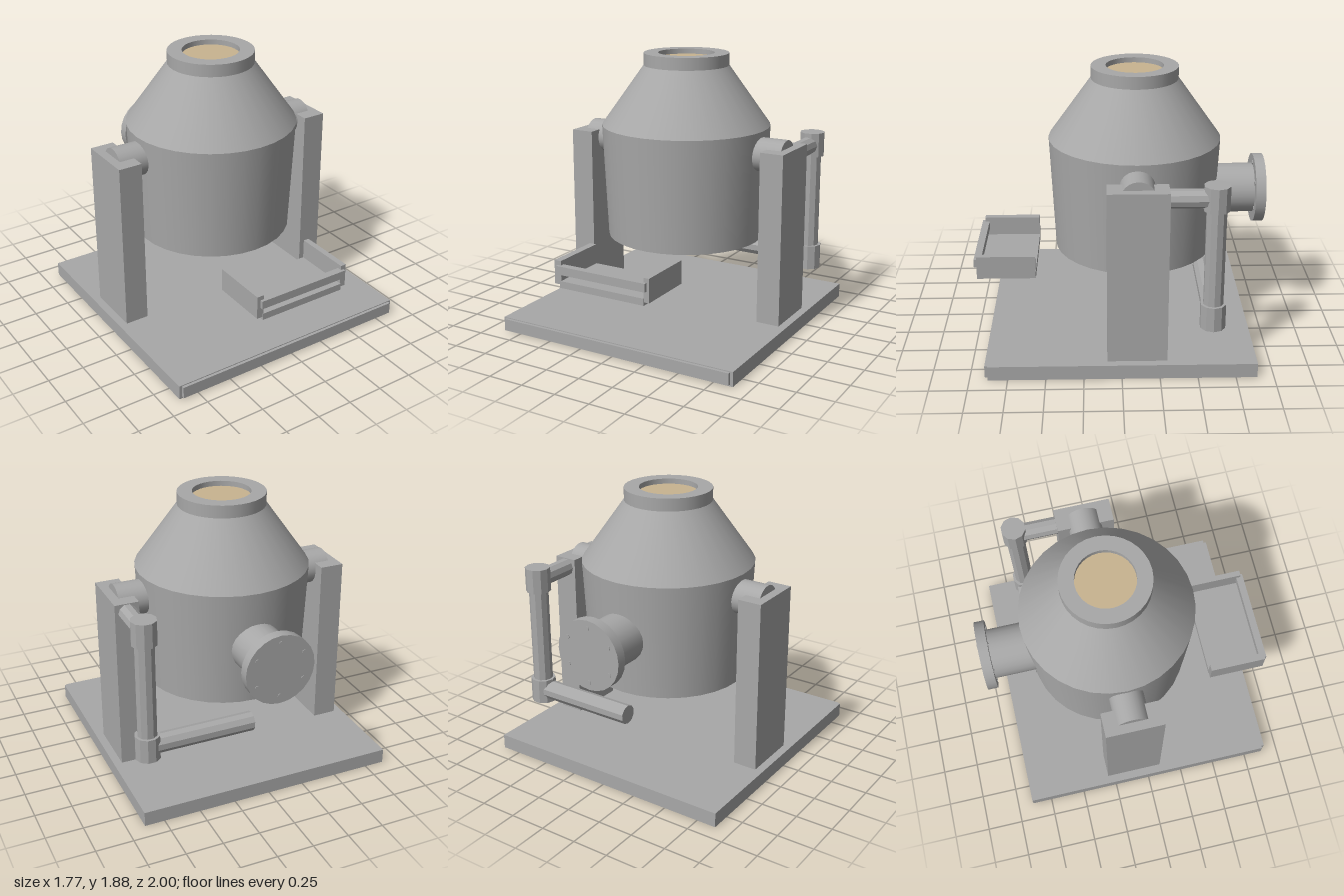
import * as THREE from 'three';
import { mergeGeometries } from 'three/addons/utils/BufferGeometryUtils.js';

export function createModel() {
  const model = new THREE.Group();
  model.name = 'tiltingMixer';

  const steel = new THREE.MeshStandardMaterial({ color: 0xa8a8a8 });
  steel.name = 'steel grey';
  const contents = new THREE.MeshStandardMaterial({ color: 0xc8b490 });
  contents.name = 'pale tan';

  const add = (name, geometry, material = steel, parent = model) => {
    const mesh = new THREE.Mesh(geometry, material);
    mesh.name = name;
    parent.add(mesh);
    return mesh;
  };

  // box given by its minimum and maximum on each axis
  const box = (name, [x0, x1], [y0, y1], [z0, z1], parent) => {
    const g = new THREE.BoxGeometry(x1 - x0, y1 - y0, z1 - z0);
    g.translate((x0 + x1) / 2, (y0 + y1) / 2, (z0 + z1) / 2);
    return add(name, g, steel, parent);
  };

  // round bar between two points; faceted bars have flat faces
  const bar = (name, from, to, radius, sides, faceted, parent) => {
    const a = new THREE.Vector3(...from);
    const d = new THREE.Vector3(...to).sub(a);
    let g = new THREE.CylinderGeometry(radius, radius, d.length(), sides);
    g.rotateY(Math.PI / 2);
    if (Math.abs(d.x) > 0) g.rotateZ(-Math.PI / 2 * Math.sign(d.x));
    if (Math.abs(d.z) > 0) g.rotateX(Math.PI / 2 * Math.sign(d.z));
    if (faceted) {
      g = g.toNonIndexed();
      g.computeVertexNormals();
    }
    g.translate(a.x + d.x / 2, a.y + d.y / 2, a.z + d.z / 2);
    return add(name, g, steel, parent);
  };

  const group = (name) => {
    const g = new THREE.Group();
    g.name = name;
    model.add(g);
    return g;
  };

  const axisZ = -0.105;

  // base with a thin front plate
  box('base', [-0.885, 0.885], [0, 0.1], [-0.89, 0.88]);
  box('baseFrontPlate', [-0.865, 0.865], [0.012, 0.094], [0.87, 0.9]);

  // posts and pivots
  for (const [side, s] of [['left', 1], ['right', -1]]) {
    const xs = [s * 0.665, s * 0.83].sort((a, b) => a - b);
    box(side + 'Post', xs, [0.1, 1.285], [-0.3, 0.095]);
    bar(side + 'Pivot', [s * 0.5, 1.225, axisZ], [s * 0.77, 1.225, axisZ], 0.116, 24, false);
  }

  // vessel: each stretch of the profile is its own lathe, so edges stay sharp
  const profile = [
    [0, 0.595], [0.55, 0.595], [0.587, 1.38], [0.295, 1.79],
    [0.295, 1.875], [0.195, 1.875], [0.195, 1.83],
  ].map(([r, y]) => new THREE.Vector2(r, y));
  const bands = profile.slice(1).map((p, i) => new THREE.LatheGeometry([profile[i], p], 32));
  const vessel = add('vessel', mergeGeometries(bands));
  vessel.position.z = axisZ;
  const fill = add('vesselContents', new THREE.CircleGeometry(0.196, 32).rotateX(-Math.PI / 2), contents);
  fill.position.set(0, 1.84, axisZ);

  // rear outlet with a bolted flange
  const outlet = group('rearOutlet');
  const outletY = 0.99;
  bar('outletPipe', [0, outletY, -0.4], [0, outletY, -0.94], 0.171, 24, false, outlet);
  bar('outletFlange', [0, outletY, -0.927], [0, outletY, -0.996], 0.238, 24, false, outlet);
  for (let i = 0; i < 6; i++) {
    const a = Math.PI / 2 + i * Math.PI / 3;
    const x = 0.185 * Math.cos(a), y = outletY + 0.185 * Math.sin(a);
    bar('flangeBolt', [x, y, -0.922], [x, y, -1], 0.016, 8, true, outlet);
  }

  // drive linkage beside the left post
  const drive = group('driveLinkage');
  const dx = 0.745, dz = -0.597;
  bar('driveArm', [dx, 1.22, dz], [dx, 1.22, -0.2], 0.062, 10, true, drive);
  bar('upperCoupling', [dx, 1.14, dz], [dx, 1.308, dz], 0.086, 10, true, drive);
  bar('driveShaft', [dx, 0.4, dz], [dx, 1.2, dz], 0.067, 10, true, drive);
  bar('lowerCoupling', [dx, 0.31, dz], [dx, 0.482, dz], 0.086, 10, true, drive);
  bar('lowerArm', [0, 0.398, dz], [dx, 0.398, dz], 0.067, 10, true, drive);

  // open tray in front of the vessel
  const tray = group('frontTray');
  box('trayFloor', [-0.32, 0.315], [0.453, 0.5], [0.58, 0.985], tray);
  box('trayRightWall', [-0.362, -0.312], [0.475, 0.635], [0.58, 0.98], tray);
  box('trayLeftWall', [0.312, 0.352], [0.475, 0.635], [0.58, 0.98], tray);
  box('trayFrontRail', [-0.337, 0.333], [0.548, 0.605], [0.95, 1], tray);

  return model;
}
